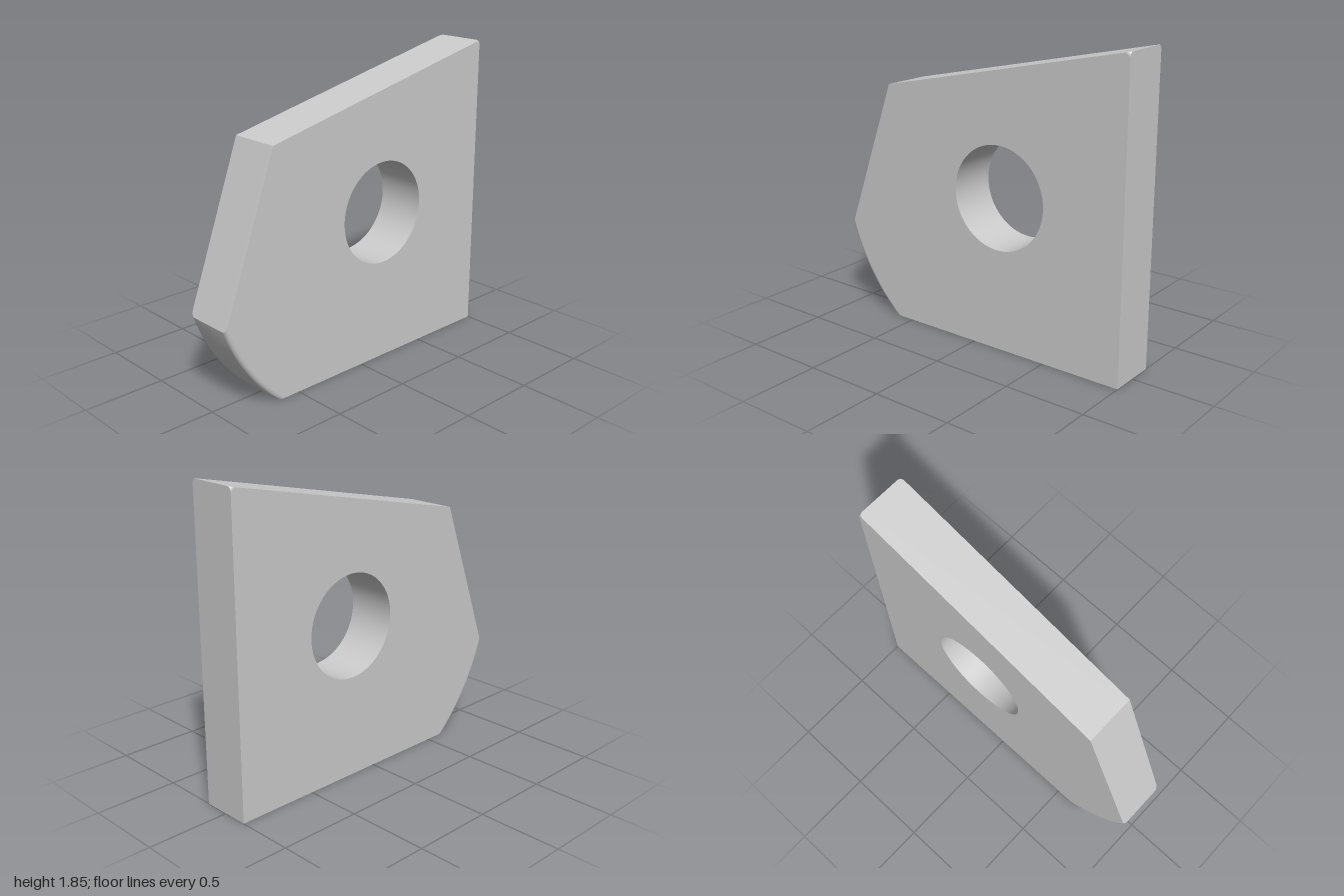
import * as THREE from 'three';
import { toCreasedNormals } from 'three/addons/utils/BufferGeometryUtils.js';

const HALF = 0.155;              // half thickness
const CX = 0.175, CY = 0.93;     // bore centre, also centre of the curved edge
const BORE = 0.312, ARC = 1.242, FILLET = 0.027;

// Plate outline, counter-clockwise; t insets the curved edge and trims the top corner
function outline(t) {
  const pts = [[1, 0], [1, 1.85 - t], [1 - t, 1.85 - t * 0.218], [-0.65, 1.49]];
  const s = t / 0.627, r = ARC - t;
  const a0 = Math.atan2(0.53 + 0.94 * s - CY, -1 + 0.343 * s - CX) + 2 * Math.PI;
  const a1 = 2 * Math.PI - Math.PI + Math.asin(CY / r);
  for (let i = 0; i <= 24; i++) {
    const a = a0 + (a1 - a0) * i / 24;
    pts.push([CX + r * Math.cos(a), Math.max(0, CY + r * Math.sin(a))]);
  }
  return pts.map(([x, y]) => new THREE.Vector2(x, y));
}

// Rim: outlines stacked through the thickness, with a quarter-round at each side
function rimGeometry() {
  const layers = [];
  for (const side of [-1, 1]) {
    for (let i = 0; i <= 6; i++) {
      const a = (side < 0 ? 6 - i : i) / 6 * Math.PI / 2;
      const z = side * (HALF - FILLET + FILLET * Math.sin(a));
      layers.push(outline(FILLET * (1 - Math.cos(a))).map(p => [p.x, p.y, z]));
    }
  }
  const n = layers[0].length, pos = [];
  for (let k = 0; k < layers.length - 1; k++) {
    for (let i = 0; i < n; i++) {
      const j = (i + 1) % n;
      const a = layers[k][i], b = layers[k][j], c = layers[k + 1][j], d = layers[k + 1][i];
      pos.push(...a, ...b, ...c, ...a, ...c, ...d);
    }
  }
  const g = new THREE.BufferGeometry();
  g.setAttribute('position', new THREE.Float32BufferAttribute(pos, 3));
  return toCreasedNormals(g, 0.5);
}

export function createModel() {
  const group = new THREE.Group();
  group.name = 'clampPlate';
  const material = new THREE.MeshStandardMaterial({ color: 0xcccccc });
  const add = (name, geometry, mat = material) => {
    const mesh = new THREE.Mesh(geometry, mat);
    mesh.name = name;
    group.add(mesh);
    return mesh;
  };

  add('rim', rimGeometry());

  // Flat faces with the round bore
  const shape = new THREE.Shape(outline(FILLET));
  shape.holes.push(new THREE.Path().absarc(CX, CY, BORE, 0, Math.PI * 2, true));
  const face = new THREE.ShapeGeometry(shape, 48);
  add('frontFace', face).position.z = HALF;
  const backMaterial = material.clone();
  backMaterial.side = THREE.DoubleSide;
  add('backFace', face, backMaterial).position.z = -HALF;

  // Inner wall of the bore
  const wall = new THREE.CylinderGeometry(BORE, BORE, HALF * 2, 96, 1, true);
  wall.rotateX(Math.PI / 2).translate(CX, CY, 0);
  add('boreWall', wall, backMaterial);

  return group;
}
